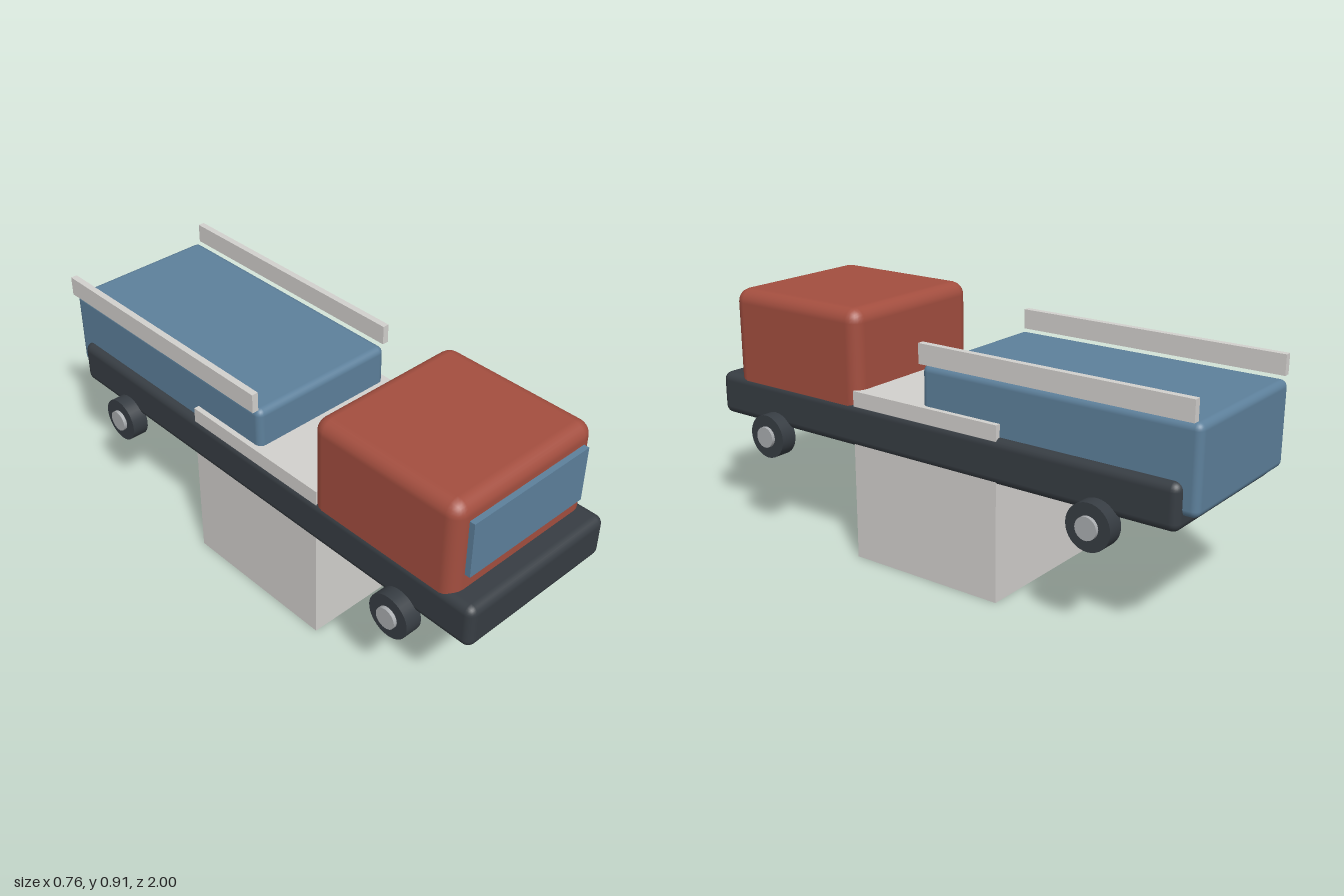
import * as THREE from 'three';
import { RoundedBoxGeometry } from 'three/addons/geometries/RoundedBoxGeometry.js';

const mat = (name, color) => {
  const m = new THREE.MeshStandardMaterial({ color });
  m.name = name;
  return m;
};

export function createModel() {
  const red = mat('cab red', 0xa34e3f);
  const blue = mat('steel blue', 0x5d809b);
  const dark = mat('charcoal', 0x373d43);
  const grey = mat('light grey', 0xd2d0cd);
  const metal = mat('hub metal', 0xaaadb0);

  const model = new THREE.Group();
  model.name = 'truck';

  // Box given by its limits on each axis; rounded when a radius is set
  const box = (name, material, [x0, x1], [y0, y1], [z0, z1], radius = 0) => {
    const size = [x1 - x0, y1 - y0, z1 - z0];
    const geometry = radius
      ? new RoundedBoxGeometry(...size, 3, radius)
      : new THREE.BoxGeometry(...size);
    const mesh = new THREE.Mesh(geometry, material);
    mesh.name = name;
    mesh.position.set((x0 + x1) / 2, (y0 + y1) / 2, (z0 + z1) / 2);
    model.add(mesh);
  };

  // Body
  box('chassis', dark, [-0.317, 0.317], [0.42, 0.58], [-0.95, 1], 0.03);
  box('cab', red, [-0.312, 0.312], [0.5, 0.91], [0.31, 0.915], 0.05);
  box('windscreen', blue, [-0.26, 0.26], [0.64, 0.845], [0.905, 0.935]);
  box('cargoBody', blue, [-0.29, 0.29], [0.47, 0.767], [-1, 0.04], 0.025);
  box('centreBlock', grey, [-0.31, 0.31], [0, 0.625], [-0.285, 0.333]);

  // Rails floating above the cargo sides
  for (const [name, side] of [['leftRail', 1], ['rightRail', -1]]) {
    const xs = [0.287 * side, 0.311 * side].sort((a, b) => a - b);
    box(name, grey, xs, [0.774, 0.845], [-0.985, 0.033]);
  }

  // Wheels with hubs
  const cylinder = (name, material, radius, x0, x1) => {
    const geometry = new THREE.CylinderGeometry(radius, radius, x1 - x0, 32);
    geometry.rotateZ(-Math.PI / 2).translate((x0 + x1) / 2, 0, 0);
    const mesh = new THREE.Mesh(geometry, material);
    mesh.name = name;
    return mesh;
  };
  for (const [end, z] of [['front', 0.717], ['rear', -0.673]]) {
    for (const [side, turn] of [['Left', 0], ['Right', Math.PI]]) {
      const wheel = new THREE.Group();
      wheel.name = `${end}${side}Wheel`;
      wheel.add(cylinder('tyre', dark, 0.081, 0.303, 0.366));
      wheel.add(cylinder('hub', metal, 0.039, 0.31, 0.379));
      wheel.position.set(0, 0.393, z);
      wheel.rotation.y = turn;
      model.add(wheel);
    }
  }
  return model;
}
